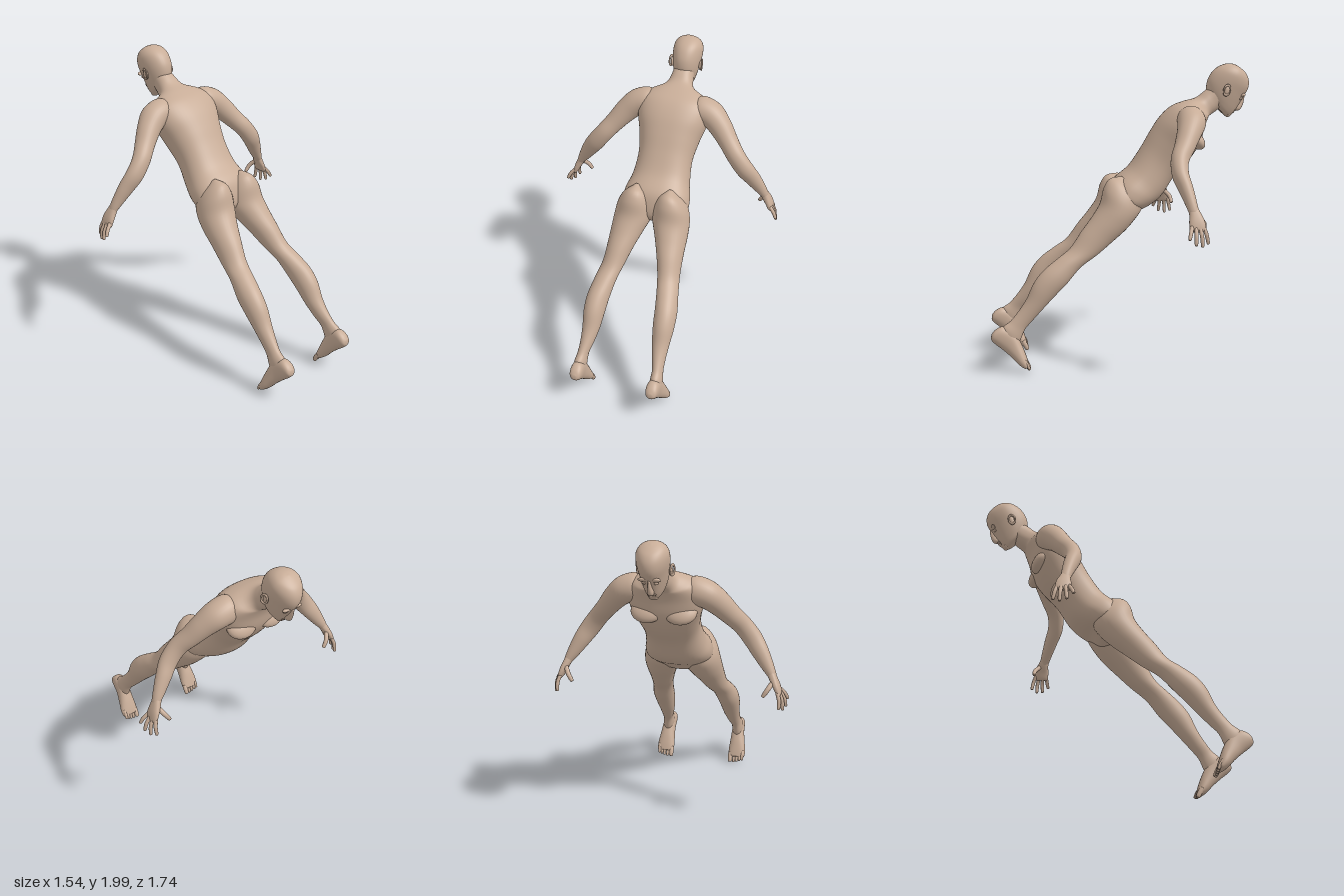
import * as THREE from 'three';

const skin = new THREE.MeshStandardMaterial({ color: 0xc8ad98 });
skin.name = 'skin';

// Closed smooth skin over rings of [centre xyz, side axis xyz, depth axis xyz]
function loft(rings, { power = 2, taper = 0, sides = 32, steps = 5 } = {}) {
  const n = rings.length, rows = [];
  const at = i => rings[Math.max(0, Math.min(n - 1, i))];
  for (let i = 0; i < n - 1; i++) {
    for (let s = 0; s < steps + (i === n - 2 ? 1 : 0); s++) {
      const t = s / steps;
      rows.push(at(i).map((p1, k) => {
        const p0 = at(i - 1)[k], p2 = at(i + 1)[k], p3 = at(i + 2)[k];
        return p1 + 0.5 * t * (p2 - p0 + t * (2 * p0 - 5 * p1 + 4 * p2 - p3 + t * (3 * (p1 - p2) + p3 - p0)));
      }));
    }
  }
  const pos = [], idx = [];
  const bend = v => Math.sign(v) * Math.pow(Math.abs(v), 2 / power);
  for (const r of rows) {
    for (let j = 0; j < sides; j++) {
      const a = (j / sides) * Math.PI * 2;
      const d = bend(Math.sin(a));
      const c = bend(Math.cos(a)) * (1 - taper * Math.max(0, -d));
      for (let k = 0; k < 3; k++) pos.push(r[k] + r[k + 3] * c + r[k + 6] * d);
    }
  }
  for (let i = 0; i < rows.length - 1; i++) {
    for (let j = 0; j < sides; j++) {
      const a = i * sides + j, b = i * sides + (j + 1) % sides;
      idx.push(a, b, a + sides, b, b + sides, a + sides);
    }
  }
  const last = (rows.length - 1) * sides, tip = rows.length * sides;
  pos.push(...rows[0].slice(0, 3), ...rows[rows.length - 1].slice(0, 3));
  for (let j = 0; j < sides; j++) {
    const q = (j + 1) % sides;
    idx.push(tip, q, j, tip + 1, last + j, last + q);
  }
  // Signed volume decides the winding
  let volume = 0;
  const v = i => new THREE.Vector3().fromArray(pos, idx[i] * 3);
  for (let i = 0; i < idx.length; i += 3) volume += v(i).dot(v(i + 1).cross(v(i + 2)));
  if (volume < 0) idx.reverse();
  const g = new THREE.BufferGeometry();
  g.setAttribute('position', new THREE.Float32BufferAttribute(pos, 3));
  g.setIndex(idx);
  g.computeVertexNormals();
  return g;
}

// Rows of [centre x, half width, back z, back y, front z, front y]
const body = (rows, opts) => loft(rows.map(([x, w, zb, yb, zf, yf]) =>
  [x, (yb + yf) / 2, (zb + zf) / 2, w, 0, 0, 0, (yb - yf) / 2, (zb - zf) / 2]), opts);

// Rows of [x, y, z, radius along z, other radius] following a path
function limb(rows, opts) {
  const p = rows.map(r => new THREE.Vector3(r[0], r[1], r[2]));
  return loft(rows.map((r, i) => {
    const t = p[Math.min(i + 1, p.length - 1)].clone().sub(p[Math.max(i - 1, 0)]).normalize();
    const b = t.clone().cross(new THREE.Vector3(0, 0, 1)).normalize();
    const a = b.clone().cross(t).normalize().multiplyScalar(r[3]);
    b.multiplyScalar(r[4] ?? r[3]);
    return [r[0], r[1], r[2], ...a.toArray(), ...b.toArray()];
  }), opts);
}

// Finger or toe with a rounded tip
function digit(a, m, b, r) {
  const e = a.map((_, k) => b[k] + (b[k] - m[k]) * 0.12);
  return limb([[...a, r], [...m, r], [...b, r * 0.8], [...e, r * 0.2]], { sides: 12, steps: 4 });
}

const blob = (c, r, tilt = 0) =>
  new THREE.SphereGeometry(1, 24, 16).scale(...r).rotateX(tilt).translate(...c);

function mirrored(geometry) {
  const g = geometry.clone().scale(-1, 1, 1);
  g.setIndex(Array.from(g.index.array).reverse());
  g.computeVertexNormals();
  return g;
}

export function createModel() {
  const model = new THREE.Group();
  model.name = 'leaningFigure';
  const add = (name, g) => {
    const mesh = new THREE.Mesh(g, skin);
    mesh.name = name;
    model.add(mesh);
  };
  const pair = (name, g) => {
    add('left' + name, g);
    add('right' + name, mirrored(g));
  };

  // Torso from crotch to neck
  add('torso', body([
    [0, 0.03, 0.06, 1.03, 0.0, 0.98],
    [0, 0.13, 0.08, 1.08, -0.06, 0.98],
    [0, 0.215, 0.07, 1.16, -0.13, 1.03],
    [0, 0.222, 0.035, 1.24, -0.20, 1.065],
    [0, 0.195, -0.06, 1.325, -0.275, 1.125],
    [0, 0.183, -0.14, 1.44, -0.36, 1.25],
    [0, 0.205, -0.205, 1.55, -0.46, 1.36],
    [0, 0.238, -0.27, 1.645, -0.53, 1.47],
    [0, 0.235, -0.345, 1.715, -0.56, 1.58],
    [0, 0.185, -0.425, 1.75, -0.585, 1.64],
    [0, 0.10, -0.51, 1.775, -0.60, 1.655],
    [0, 0.076, -0.565, 1.815, -0.645, 1.685],
    [0, 0.07, -0.61, 1.85, -0.69, 1.72],
  ], { power: 2.3, sides: 48 }));
  pair('ChestMuscle', blob([0.105, 1.505, -0.485], [0.105, 0.085, 0.05], 0.75));

  // Head and face
  add('head', body([
    [0, 0.03, -0.64, 1.72, -0.712, 1.65],
    [0, 0.058, -0.60, 1.775, -0.735, 1.648],
    [0, 0.073, -0.583, 1.815, -0.768, 1.675],
    [0, 0.085, -0.582, 1.855, -0.797, 1.72],
    [0, 0.094, -0.593, 1.90, -0.828, 1.772],
    [0, 0.10, -0.62, 1.945, -0.862, 1.83],
    [0, 0.096, -0.655, 1.976, -0.868, 1.885],
    [0, 0.076, -0.70, 1.996, -0.85, 1.932],
    [0, 0.042, -0.743, 2.0, -0.815, 1.967],
    [0, 0.005, -0.775, 1.993, -0.785, 1.988],
  ], { power: 2.15, taper: 0.2, sides: 40 }));
  add('nose', body([
    [0, 0.008, -0.82, 1.795, -0.842, 1.783],
    [0, 0.012, -0.79, 1.752, -0.834, 1.735],
    [0, 0.019, -0.77, 1.72, -0.815, 1.695],
    [0, 0.016, -0.762, 1.705, -0.79, 1.685],
  ], { sides: 16 }));
  add('upperLip', blob([0, 1.689, -0.772], [0.028, 0.007, 0.012], 0.6));
  add('lowerLip', blob([0, 1.677, -0.762], [0.024, 0.007, 0.011], 0.6));
  add('chin', blob([0, 1.662, -0.728], [0.03, 0.018, 0.02], 0.6));
  pair('Brow', blob([0.036, 1.79, -0.822], [0.034, 0.012, 0.018], 0.6));
  pair('Eye', blob([0.034, 1.768, -0.808], [0.017, 0.009, 0.012], 0.6));
  pair('Ear', blob([0.098, 1.82, -0.7], [0.012, 0.034, 0.02], -0.3));
  pair('EarRim', new THREE.TorusGeometry(0.023, 0.006, 8, 24).scale(1, 1.45, 1)
    .rotateY(Math.PI / 2 + 0.3).rotateX(-0.3).translate(0.107, 1.825, -0.698));

  // Legs, with the buttocks at the top
  pair('Leg', body([
    [0.115, 0.02, 0.0, 1.265, -0.06, 1.2],
    [0.118, 0.085, 0.08, 1.25, -0.14, 1.1],
    [0.124, 0.117, 0.122, 1.19, -0.125, 1.04],
    [0.132, 0.126, 0.148, 1.09, -0.085, 0.985],
    [0.152, 0.11, 0.205, 1.0, -0.02, 0.915],
    [0.172, 0.09, 0.275, 0.91, 0.07, 0.84],
    [0.193, 0.075, 0.35, 0.805, 0.17, 0.76],
    [0.217, 0.072, 0.435, 0.74, 0.285, 0.68],
    [0.237, 0.074, 0.525, 0.67, 0.375, 0.58],
    [0.243, 0.07, 0.59, 0.59, 0.455, 0.5],
    [0.245, 0.058, 0.64, 0.485, 0.53, 0.42],
    [0.252, 0.045, 0.69, 0.41, 0.6, 0.345],
    [0.262, 0.036, 0.745, 0.345, 0.65, 0.29],
    [0.267, 0.04, 0.795, 0.305, 0.68, 0.225],
    [0.268, 0.035, 0.8, 0.24, 0.7, 0.18],
  ]));
  pair('Foot', body([
    [0.265, 0.012, 0.868, 0.262, 0.872, 0.245],
    [0.265, 0.034, 0.84, 0.292, 0.87, 0.222],
    [0.265, 0.043, 0.79, 0.31, 0.845, 0.195],
    [0.268, 0.045, 0.72, 0.275, 0.795, 0.155],
    [0.272, 0.054, 0.675, 0.19, 0.745, 0.11],
    [0.275, 0.062, 0.648, 0.12, 0.7, 0.062],
    [0.275, 0.06, 0.634, 0.075, 0.664, 0.035],
    [0.275, 0.05, 0.63, 0.058, 0.65, 0.035],
  ], { power: 2.2 }));
  for (let i = 0; i < 5; i++) {
    const x = [0.229, 0.257, 0.279, 0.3, 0.319][i], drop = [0, 0, 0.005, 0.012, 0.02][i];
    pair('Toe' + (i + 1), digit([x, 0.075 + drop, 0.66], [x, 0.045 + drop, 0.641],
      [x, 0.015 + drop, 0.627], i ? 0.011 : 0.017));
  }

  // Arms
  pair('Arm', limb([
    [0.12, 1.645, -0.45, 0.06],
    [0.18, 1.64, -0.445, 0.09],
    [0.26, 1.615, -0.435, 0.092, 0.088],
    [0.33, 1.555, -0.405, 0.078],
    [0.4, 1.475, -0.365, 0.066],
    [0.465, 1.4, -0.325, 0.058, 0.062],
    [0.53, 1.315, -0.318, 0.053, 0.062],
    [0.585, 1.235, -0.342, 0.046, 0.054],
    [0.635, 1.155, -0.365, 0.037, 0.04],
    [0.665, 1.105, -0.378, 0.032, 0.028],
    [0.675, 1.08, -0.385, 0.03, 0.022],
  ]));

  // Hands with spread fingers
  pair('Palm', limb([
    [0.655, 1.125, -0.375, 0.027, 0.024],
    [0.675, 1.085, -0.385, 0.037, 0.025],
    [0.698, 1.04, -0.393, 0.049, 0.022],
    [0.714, 1.0, -0.396, 0.05, 0.017],
    [0.72, 0.985, -0.396, 0.04, 0.009],
  ], { power: 2.4 }));
  [
    ['Index', [0.708, 1.01, -0.434], [0.722, 0.965, -0.449], [0.722, 0.915, -0.459]],
    ['Middle', [0.714, 1.01, -0.409], [0.738, 0.955, -0.418], [0.742, 0.9, -0.421]],
    ['Ring', [0.716, 1.01, -0.384], [0.746, 0.96, -0.382], [0.757, 0.91, -0.379]],
    ['Little', [0.714, 1.015, -0.36], [0.745, 0.98, -0.348], [0.763, 0.945, -0.338]],
    ['Thumb', [0.675, 1.07, -0.408], [0.648, 1.028, -0.445], [0.622, 0.988, -0.454]],
  ].forEach(([name, a, m, b]) =>
    pair(name + 'Finger', digit(a, m, b, name === 'Thumb' ? 0.015 : 0.0125)));

  return model;
}
